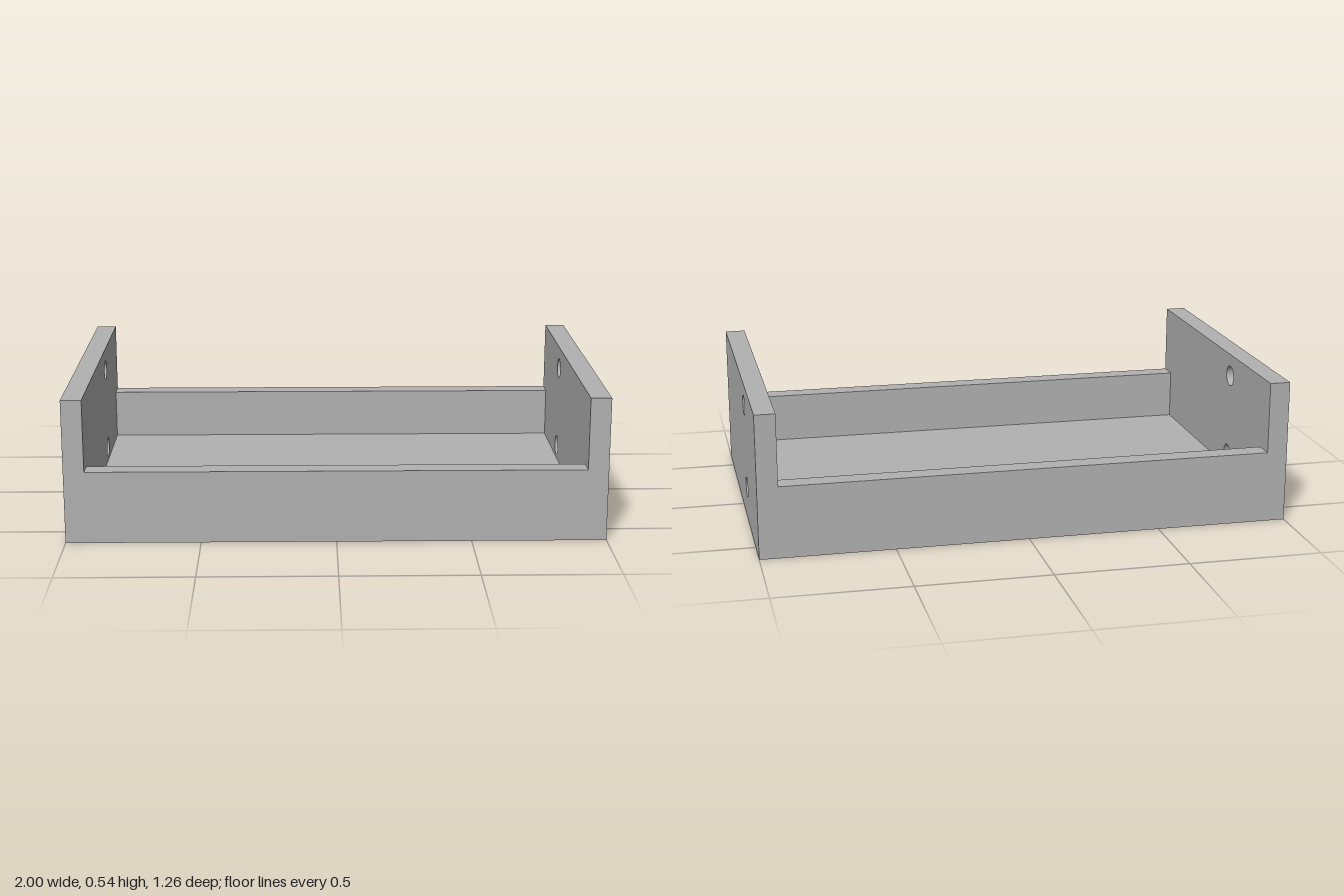
import * as THREE from 'three';

const W = 2, D = 1.26, H = 0.543, RAIL_H = 0.272, T = 0.077, FLOOR = 0.081;

export function createModel() {
  const group = new THREE.Group();
  group.name = 'tray';
  const grey = new THREE.MeshStandardMaterial({ color: 0xb2b2b2 });
  grey.name = 'grey';

  const add = (name, geometry, x, y, z) => {
    const mesh = new THREE.Mesh(geometry, grey);
    mesh.name = name;
    mesh.position.set(x, y, z);
    group.add(mesh);
    return mesh;
  };

  // Tall end walls, each drilled with two screw holes
  const side = new THREE.Shape();
  side.moveTo(-D / 2, 0);
  side.lineTo(D / 2, 0);
  side.lineTo(D / 2, H);
  side.lineTo(-D / 2, H);
  side.closePath();
  for (const y of [0.132, 0.457]) {
    const hole = new THREE.Path();
    hole.absarc(0.192, y, 0.039, 0, Math.PI * 2, true);
    side.holes.push(hole);
  }
  const wall = new THREE.ExtrudeGeometry(side, { depth: T, bevelEnabled: false, curveSegments: 32 });
  wall.rotateY(Math.PI / 2); // thickness now runs along +x
  add('leftEndWall', wall, W / 2 - T, 0, 0);
  add('rightEndWall', wall, -W / 2, 0, 0);

  // Low front and back rails between the end walls
  const inner = W - 2 * T;
  const rail = new THREE.BoxGeometry(inner, RAIL_H, T);
  add('frontRail', rail, 0, RAIL_H / 2, D / 2 - T / 2);
  add('backRail', rail, 0, RAIL_H / 2, -D / 2 + T / 2);

  // Floor panel
  add('floor', new THREE.BoxGeometry(inner, FLOOR, D - 2 * T), 0, FLOOR / 2, 0);

  return group;
}
